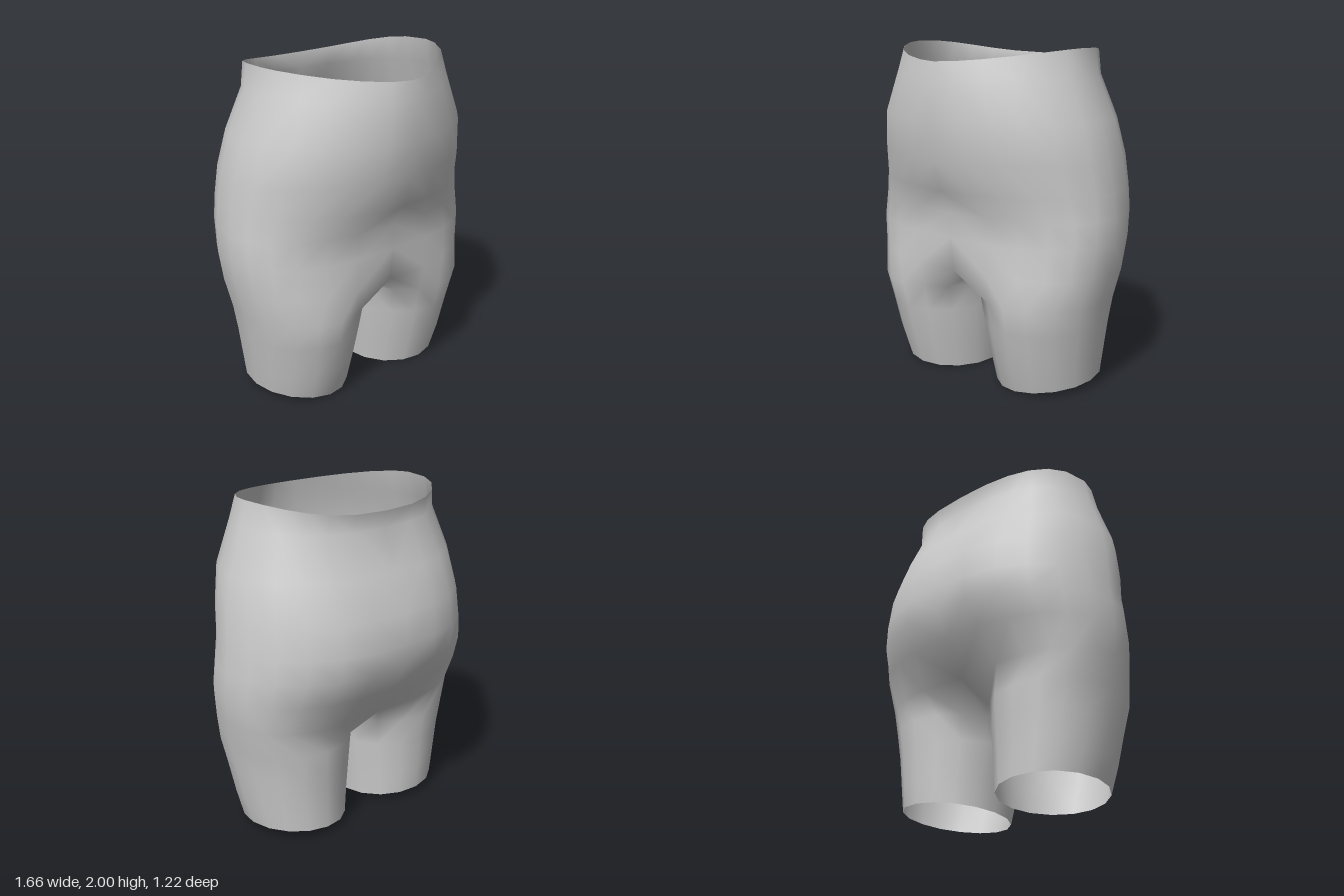
import * as THREE from 'three';
import { mergeVertices } from 'three/addons/utils/BufferGeometryUtils.js';

const SEG = 12; // segments from front centre, around one side, to back centre
const pow = (v, p) => Math.sign(v) * Math.abs(v) ** p;

// Half ring of the hips: [height, half width, front z, back z, centre z,
// front roundness, back roundness, front pinch, back pinch, sag at front and back]
function hipRing([y, w, f, b, mid, pF, pB, pinchF, pinchB, sag]) {
  const row = [];
  for (let j = 0; j <= SEG; j++) {
    const t = (j / SEG) * Math.PI, s = Math.sin(t), c = Math.cos(t);
    const p = c > 0 ? pF : pB;
    const x = j % SEG ? w * pow(s, p) : 0;
    const crease = Math.exp(-((x / 0.2) ** 2)) * (c > 0 ? -pinchF : pinchB);
    const z = mid + (c > 0 ? f - mid : mid - b) * pow(c, p) + crease;
    row.push([x, y - sag * c * c, z]);
  }
  return row;
}

// Closed ring of a leg, starting at its front inner corner:
// [height, inner x, outer x, front z, back z, front roundness, back roundness, hem tilt]
function legRing([y, xi, xo, zf, zb, pF, pB, tilt]) {
  const row = [];
  for (let j = 0; j <= 16; j++) {
    const t = -Math.PI / 4 + (j / 16) * Math.PI * 2, s = Math.sin(t), c = Math.cos(t);
    const p = c > 0 ? pF : pB;
    row.push([
      (xi + xo) / 2 + ((xo - xi) / 2) * pow(s, p),
      y + tilt * (s - c),
      (zf + zb) / 2 + ((zf - zb) / 2) * pow(c, p),
    ]);
  }
  return row;
}

export function createModel() {
  // Waist, belly, seat and upper thighs
  const hips = [
    [2.0, 0.62, 0.57, -0.425, 0.04, 1.22, 0.8, 0, 0, 0.07],
    [1.85, 0.65, 0.585, -0.41, 0.04, 1.13, 0.82, 0, 0, 0.02],
    [1.6, 0.745, 0.61, -0.52, 0.02, 1.05, 0.88, 0, 0.01, 0],
    [1.38, 0.79, 0.575, -0.615, 0, 1.04, 0.93, 0, 0.015, 0],
    [1.2, 0.81, 0.53, -0.635, -0.02, 1.02, 0.94, 0, 0.025, 0],
    [1.06, 0.825, 0.445, -0.625, -0.02, 0.87, 0.93, 0, 0.025, 0],
    [0.91, 0.83, 0.455, -0.54, -0.01, 0.84, 0.85, 0.01, 0.02, 0],
    [0.74, 0.81, 0.46, -0.42, 0, 0.82, 0.74, 0.035, 0.03, 0.03],
  ].map(hipRing);

  // Crotch line from back to front closes the lowest hip ring into a leg ring
  const last = hips[hips.length - 1];
  const crotch = [[0, 0.65, -0.18], [0, 0.63, 0.03], [0, 0.645, 0.24]];
  const legs = [
    [...last, ...crotch, last[0]],
    ...[
      [0.56, 0.008, 0.775, 0.45, -0.38, 1.03, 0.92, 0],
      [0.4, 0.02, 0.745, 0.415, -0.37, 1.05, 0.95, 0],
      [0.2, 0.045, 0.71, 0.37, -0.365, 1.05, 0.97, 0],
      [0.03, 0.065, 0.68, 0.31, -0.36, 1.03, 0.98, 0.021],
    ].map(legRing),
  ];

  // Skin both sides of the body, mirrored across x = 0
  const pos = [];
  const tri = (a, b, c) => {
    for (const v of [a, b, c]) pos.push(...v);
    for (const v of [a, c, b]) pos.push(v[0] ? -v[0] : 0, v[1], v[2]);
  };
  for (const rows of [hips, legs]) {
    for (let i = 0; i < rows.length - 1; i++) {
      for (let j = 0; j < rows[i].length - 1; j++) {
        const a = rows[i][j], b = rows[i][j + 1], c = rows[i + 1][j + 1], d = rows[i + 1][j];
        tri(a, d, c);
        tri(a, c, b);
      }
    }
  }
  let geometry = new THREE.BufferGeometry();
  geometry.setAttribute('position', new THREE.Float32BufferAttribute(pos, 3));
  geometry = mergeVertices(geometry, 1e-4);
  geometry.computeVertexNormals();

  const shorts = new THREE.Mesh(
    geometry,
    new THREE.MeshStandardMaterial({ color: 0xcccccc, side: THREE.DoubleSide })
  );
  shorts.name = 'shorts';
  const group = new THREE.Group();
  group.name = 'shortsModel';
  group.add(shorts);
  return group;
}
